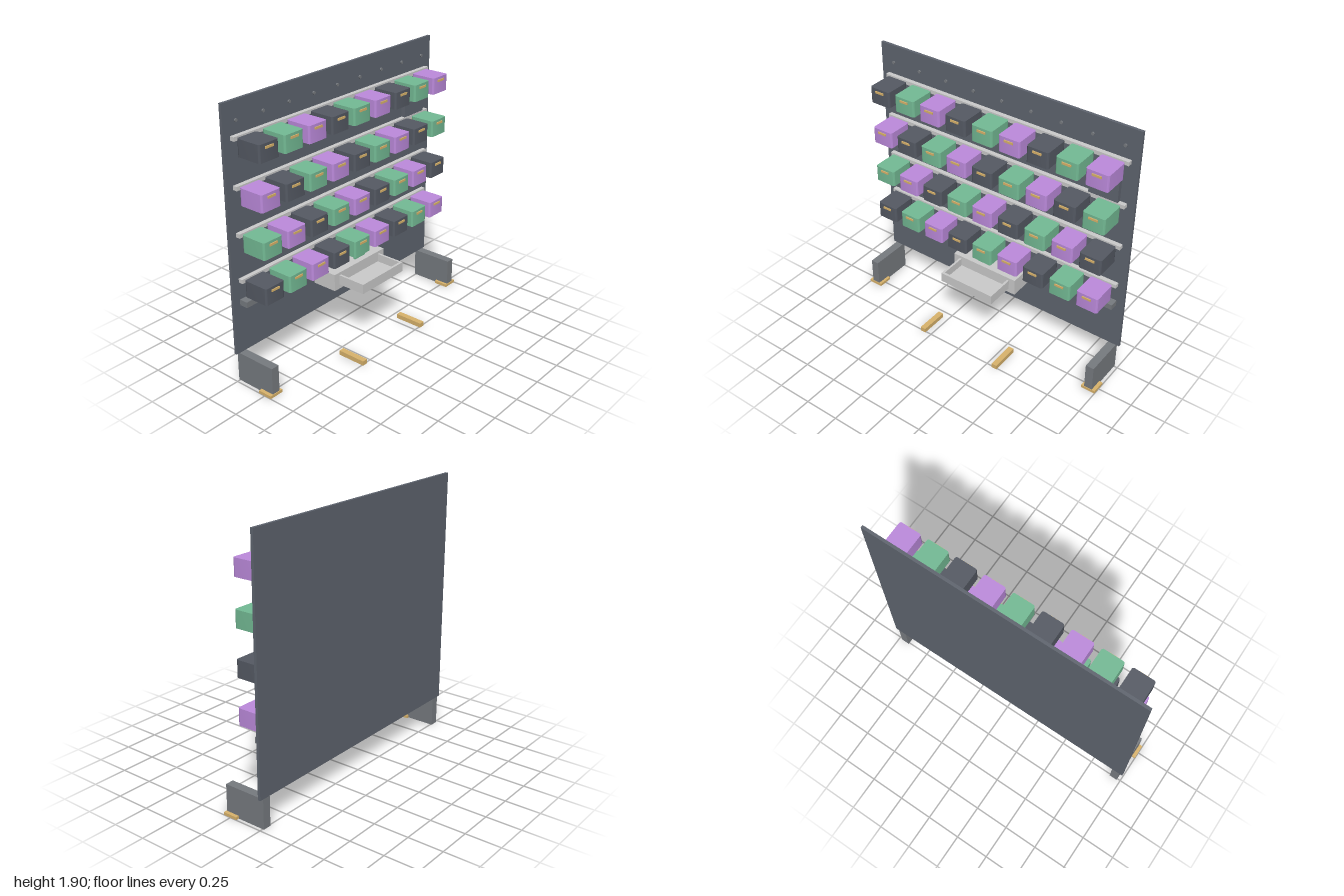
import * as THREE from 'three';
import { toCreasedNormals } from 'three/addons/utils/BufferGeometryUtils.js';

const mat = (color) => new THREE.MeshStandardMaterial({ color });
const slate = mat(0x5f656f), charcoal = mat(0x555a64), green = mat(0x74bb95), purple = mat(0xbd8bdd);
const tan = mat(0xdab46c), steel = mat(0x777b80), grey = mat(0xcccccc);

// Box given by its limits on each axis
function box(parent, name, material, [x0, x1], [y0, y1], [z0, z1]) {
  const mesh = new THREE.Mesh(new THREE.BoxGeometry(x1 - x0, y1 - y0, z1 - z0), material);
  mesh.position.set((x0 + x1) / 2, (y0 + y1) / 2, (z0 + z1) / 2);
  mesh.name = name;
  parent.add(mesh);
  return mesh;
}

// Upright block with rounded vertical corners, base at y = 0
function roundedBlock(w, h, d, r) {
  const s = new THREE.Shape();
  const x = w / 2, y = d / 2;
  s.moveTo(-x + r, -y);
  s.lineTo(x - r, -y).absarc(x - r, -y + r, r, -Math.PI / 2, 0);
  s.absarc(x - r, y - r, r, 0, Math.PI / 2);
  s.absarc(-x + r, y - r, r, Math.PI / 2, Math.PI);
  s.absarc(-x + r, -y + r, r, Math.PI, Math.PI * 1.5);
  const g = new THREE.ExtrudeGeometry(s, { depth: h, bevelEnabled: false, curveSegments: 4 });
  return toCreasedNormals(g.rotateX(-Math.PI / 2), 0.6);
}

export function createModel() {
  const model = new THREE.Group();
  model.name = 'storageWall';

  // Back panel
  box(model, 'backPanel', slate, [-1, 1], [0.21, 1.9], [-0.26, -0.24]);

  // Legs, foot pads and loose floor blocks, mirrored
  for (const s of [-1, 1]) {
    const leg = new THREE.Group();
    leg.name = s > 0 ? 'leftLeg' : 'rightLeg';
    const span = (a, b) => (s > 0 ? [a, b] : [-b, -a]);
    box(leg, 'legPlate', steel, span(0.915, 0.975), [0, 0.21], [-0.26, 0.05]);
    box(leg, 'footPad', tan, span(0.895, 1), [0, 0.02], [-0.05, 0.055]);
    model.add(leg);
    box(model, 'floorBlock', tan, span(0.295, 0.335), [0, 0.033], [0.05, 0.26]);
  }

  // Four rails, each carrying nine bins in a shifting colour order
  const binGeo = roundedBlock(0.16, 0.117, 0.188, 0.014);
  const colours = [charcoal, green, purple];
  for (let r = 0; r < 4; r++) {
    const y = 1.56 - r * 0.315;
    const row = new THREE.Group();
    row.name = 'binRow';
    box(row, 'rail', grey, [-0.945, 0.945], [y + 0.1, y + 0.128], [-0.24, -0.208]);
    for (let i = 0; i < 9; i++) {
      const x = (i - 4) * 0.2105 - 0.002;
      const bin = new THREE.Mesh(binGeo, colours[(i - r + 9) % 3]);
      bin.name = 'bin';
      bin.position.set(x, y, -0.115);
      row.add(bin);
      box(row, 'binHandle', tan, [x - 0.033, x + 0.033], [y + 0.084, y + 0.099], [-0.022, -0.014]);
    }
    model.add(row);
  }

  // Row of pegs along the top
  const pegGeo = new THREE.CylinderGeometry(0.011, 0.011, 0.01, 12).rotateX(Math.PI / 2);
  for (let i = 0; i < 9; i++) {
    const peg = new THREE.Mesh(pegGeo, steel);
    peg.name = 'peg';
    peg.position.set((i - 4) * 0.224, 1.775, -0.236);
    model.add(peg);
  }

  // Lower ledge
  box(model, 'ledge', steel, [-0.945, 0.945], [0.553, 0.593], [-0.24, -0.178]);

  // Drawer housing with an open drawer pulled forward
  const drawer = new THREE.Group();
  drawer.name = 'drawerUnit';
  box(drawer, 'housing', grey, [-0.26, 0.26], [0.425, 0.547], [-0.24, -0.052]);
  box(drawer, 'drawerFloor', grey, [-0.212, 0.212], [0.457, 0.469], [-0.06, 0.157]);
  box(drawer, 'drawerSide', grey, [-0.212, -0.196], [0.469, 0.527], [-0.06, 0.157]);
  box(drawer, 'drawerSide', grey, [0.196, 0.212], [0.469, 0.527], [-0.06, 0.157]);
  box(drawer, 'drawerFront', grey, [-0.196, 0.196], [0.469, 0.527], [0.139, 0.157]);
  box(drawer, 'indicatorStrip', green, [-0.052, 0.052], [0.583, 0.605], [-0.062, -0.05]);
  model.add(drawer);

  // Control box with three buttons
  const control = new THREE.Group();
  control.name = 'controlBox';
  box(control, 'controlHousing', slate, [0.685, 0.895], [1.37, 1.56], [-0.24, -0.21]);
  for (const x of [0.73, 0.783, 0.835]) {
    box(control, 'button', green, [x - 0.016, x + 0.016], [1.48, 1.51], [-0.21, -0.202]);
  }
  model.add(control);

  // Hanging hand tool below the control box
  const tool = new THREE.Group();
  tool.name = 'handTool';
  box(tool, 'toolStem', tan, [0.775, 0.795], [1.19, 1.345], [-0.23, -0.192]);
  box(tool, 'toolHead', tan, [0.747, 0.828], [1.185, 1.212], [-0.23, -0.155]);
  model.add(tool);

  return model;
}
